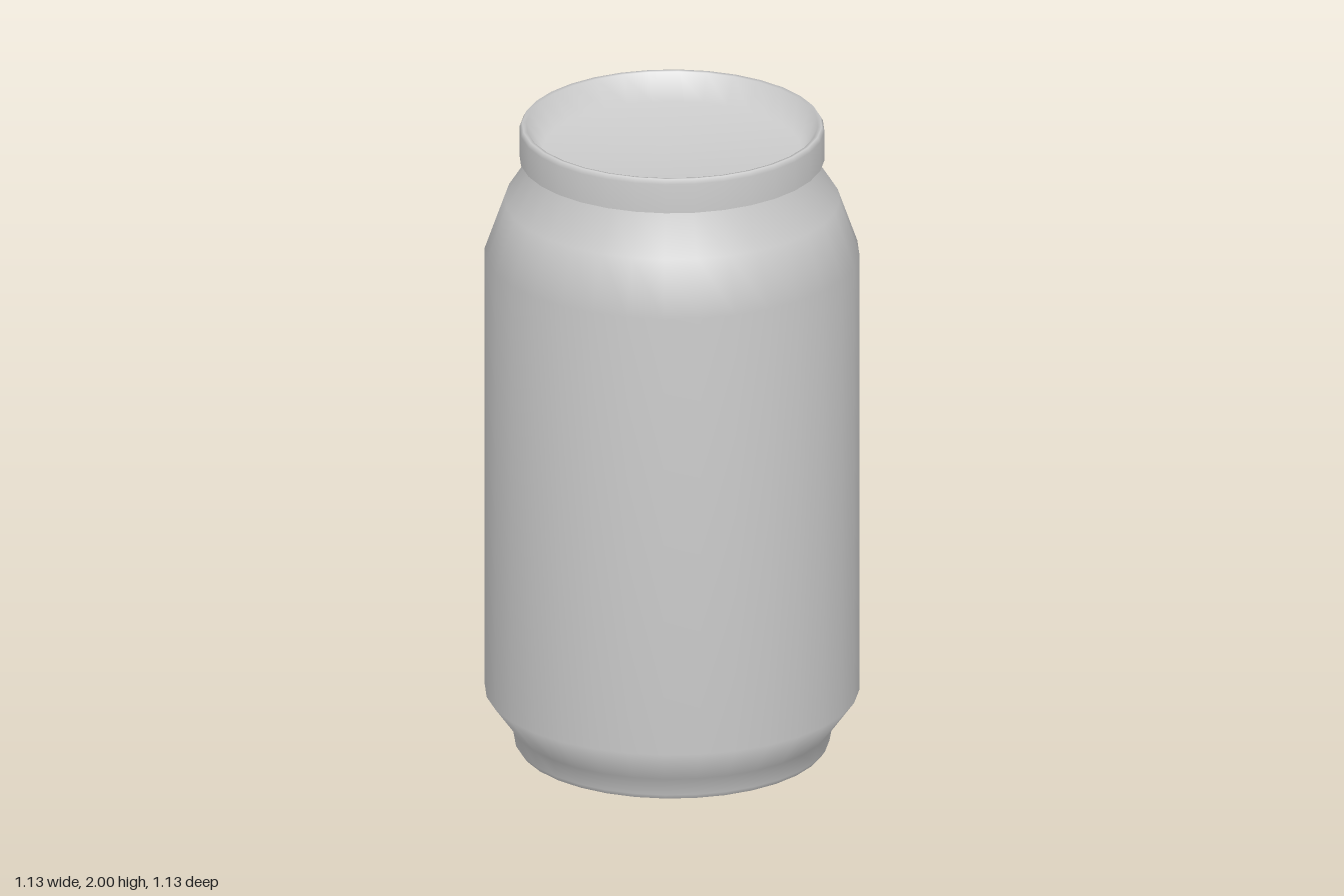
import * as THREE from 'three';

const SIDES = 32;

export function createModel() {
  const group = new THREE.Group();
  const material = new THREE.MeshStandardMaterial({ color: 0xcccccc, side: THREE.DoubleSide });

  // Turns a [radius, height] profile about the vertical axis
  const turn = (name, profile) => {
    const points = profile.map(([r, y]) => new THREE.Vector2(r, y));
    const mesh = new THREE.Mesh(new THREE.LatheGeometry(points, SIDES), material);
    mesh.name = name;
    group.add(mesh);
  };

  // Shallow recessed underside inside a standing ring
  turn('base', [[0, 0.045], [0.4, 0.045], [0.42, 0], [0.465, 0]]);

  // Tapered foot, straight wall, sloping shoulder and underside of the rim
  turn('body', [
    [0.465, 0], [0.475, 0.015], [0.485, 0.07], [0.565, 0.18],
    [0.565, 1.59], [0.505, 1.76], [0.42, 1.89], [0.46, 1.892],
  ]);

  // Rim band, rounding over its crest and sloping into the sunken top panel
  turn('rimAndTopPanel', [
    [0.46, 1.892], [0.46, 1.985], [0.452, 2],
    [0.44, 1.998], [0.39, 1.92], [0, 1.92],
  ]);

  return group;
}
